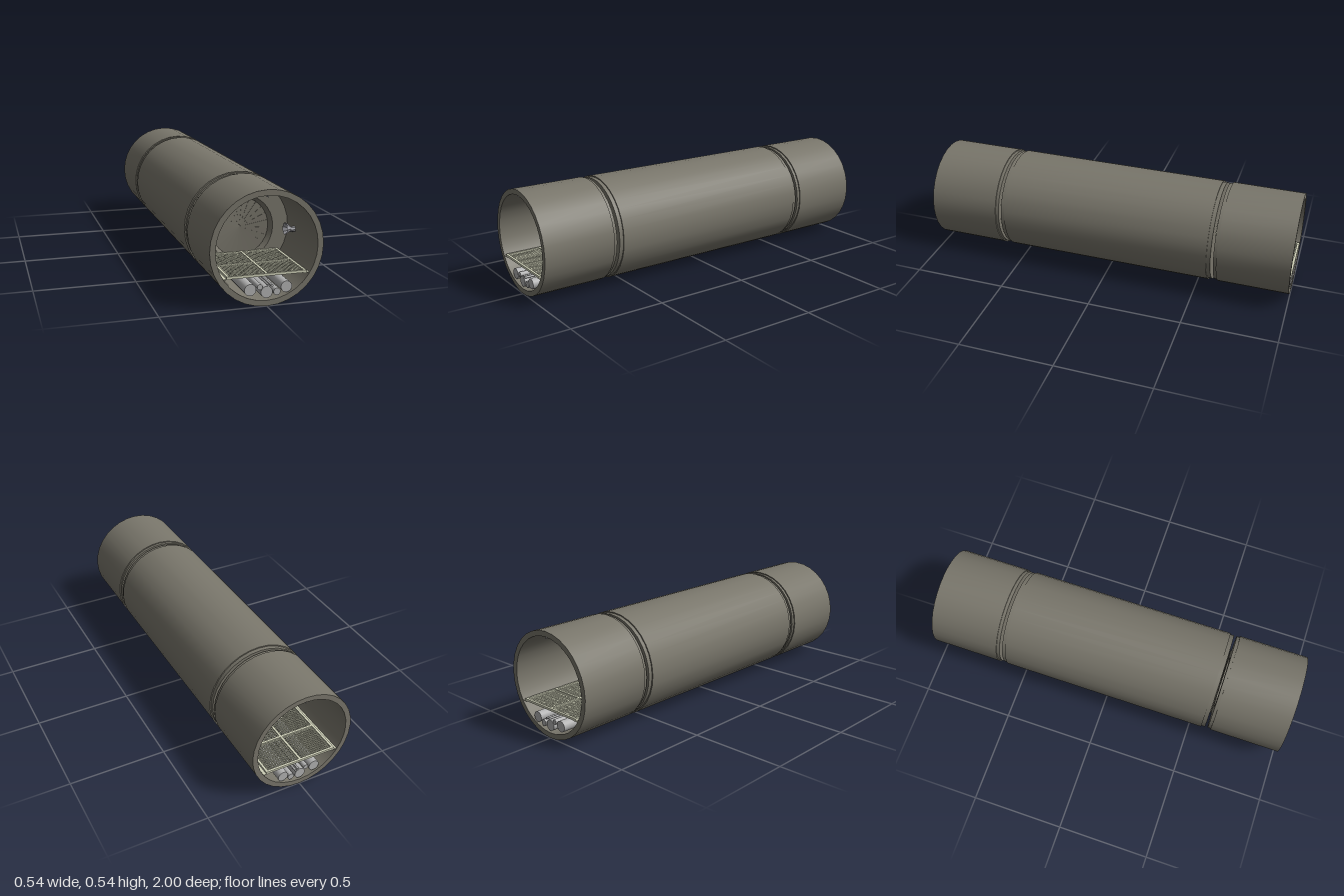
import * as THREE from 'three';
import { mergeGeometries, toCreasedNormals } from 'three/addons/utils/BufferGeometryUtils.js';

const CY = 0.271; // height of the tunnel axis

const mat = (name, color, extra = {}) => {
  const m = new THREE.MeshStandardMaterial({ color, ...extra });
  m.name = name;
  return m;
};

export function createModel() {
  const concrete = mat('concrete', 0x79766b);
  const steel = mat('pale steel', 0xb2b2b2);
  const deckPaint = mat('deck cream', 0xcfd0b8);
  const lampGrey = mat('lamp grey', 0x9c9ca2, { side: THREE.DoubleSide });

  const root = new THREE.Group();
  root.name = 'tunnel';
  const add = (parent, name, geo, material) => {
    const mesh = new THREE.Mesh(geo, material);
    mesh.name = name;
    parent.add(mesh);
    return mesh;
  };
  const box = (w, h, d, x, y, z) => new THREE.BoxGeometry(w, h, d).translate(x, y, z);

  // Profile of [radius, z] pairs turned about the tunnel axis
  const turned = (pts) => {
    const lathe = new THREE.LatheGeometry(pts.map(([r, z]) => new THREE.Vector2(r, z)), 32);
    return toCreasedNormals(lathe.rotateX(Math.PI / 2), 0.5).translate(0, CY, 0);
  };

  // Grated walkway between two z positions
  const deck = (parent, z0, z1, rows) => {
    const len = z1 - z0, mid = (z0 + z1) / 2, bars = [], mesh = [];
    for (const x of [-0.184, 0, 0.184]) bars.push(box(0.012, 0.012, len, x, 0.149, mid));
    for (let i = 0; i <= rows; i++) {
      const z = z0 + 0.006 + (len - 0.012) * i / rows;
      bars.push(box(0.38, 0.012, 0.012, 0, 0.149, z));
    }
    for (let x = -0.17; x < 0.175; x += 0.01) mesh.push(box(0.004, 0.004, len, x, 0.147, mid));
    const n = Math.round(len / 0.0125);
    for (let i = 1; i < n; i++) mesh.push(box(0.37, 0.004, 0.004, 0, 0.147, z0 + len * i / n));
    for (const s of [-1, 1]) bars.push(box(0.03, 0.003, len, s * 0.19, 0.1425, mid));
    add(parent, 'walkwayFrame', mergeGeometries(bars), deckPaint);
    add(parent, 'walkwayGrating', mergeGeometries(mesh), deckPaint);
  };

  // Service pipes below the walkway: x, y, radius
  const pipeList = [
    [-0.079, 0.083, 0.028], [-0.033, 0.093, 0.013], [0, 0.067, 0.028], [0.05, 0.065, 0.017],
    [0.095, 0.085, 0.027], [0.01, 0.098, 0.005], [0.026, 0.096, 0.006],
  ];
  const pipes = (parent, z0, z1) => {
    for (const [x, y, r] of pipeList) {
      const g = new THREE.CylinderGeometry(r, r, z1 - z0, 20).rotateX(Math.PI / 2);
      add(parent, 'servicePipe', g.translate(x, y, (z0 + z1) / 2), steel);
    }
  };

  // Cable with clips along the ceiling
  const cable = (parent, z0, z1, clips) => {
    const g = new THREE.CylinderGeometry(0.003, 0.003, z1 - z0, 8).rotateX(Math.PI / 2);
    add(parent, 'ceilingCable', g.translate(0, 0.507, (z0 + z1) / 2), steel);
    for (const z of clips) add(parent, 'cableClip', box(0.015, 0.018, 0.02, 0, 0.506, z), lampGrey);
  };

  // Backing plate behind the pipes, fitted to the round wall
  const backing = new THREE.Shape();
  backing.moveTo(0.148, 0.08).lineTo(0.11, 0.113).lineTo(-0.11, 0.113).lineTo(-0.148, 0.08);
  for (let i = 0; i <= 8; i++) {
    const a = -0.652 + 1.304 * i / 8;
    backing.lineTo(0.243 * Math.sin(a), CY - 0.243 * Math.cos(a));
  }

  // Two open end sections with bulkheads; the rear one is turned round
  for (const side of [1, -1]) {
    const end = new THREE.Group();
    end.name = side > 0 ? 'frontSection' : 'rearSection';
    if (side < 0) end.rotation.y = Math.PI;
    add(end, 'endShell', turned([
      [0.147, 0.603], [0.264, 0.603], [0.264, 0.62], [0.27, 0.62], [0.27, 1],
      [0.243, 1], [0.243, 0.625], [0.165, 0.625], [0.147, 0.603],
    ]), concrete);
    root.add(end);

    // Fittings keep the same left and right at both ends
    const fit = new THREE.Group();
    fit.name = side > 0 ? 'frontFittings' : 'rearFittings';
    const [z0, z1] = side > 0 ? [0.625, 0.998] : [-0.998, -0.625];
    deck(fit, z0, z1, 2);
    pipes(fit, z0, z1);
    cable(fit, z0, z1, [side * 0.89, side * 0.73]);
    const plate = new THREE.ExtrudeGeometry(backing, { depth: 0.012, bevelEnabled: false });
    add(fit, 'pipeBacking', plate.translate(0, 0, side > 0 ? 0.624 : -0.636), concrete);
    root.add(fit);
  }

  // Long middle section
  const middle = new THREE.Group();
  middle.name = 'middleSection';
  add(middle, 'middleShell', turned([
    [0.165, -0.588], [0.264, -0.588], [0.264, -0.567], [0.27, -0.567], [0.27, 0.567],
    [0.264, 0.567], [0.264, 0.588], [0.165, 0.588], [0.165, 0.565], [0.243, 0.565],
    [0.243, -0.565], [0.165, -0.565], [0.165, -0.588],
  ]), concrete);
  deck(middle, -0.56, 0.56, 6);
  pipes(middle, -0.56, 0.56);
  cable(middle, -0.56, 0.56, [-0.4, -0.13, 0.13, 0.4]);
  root.add(middle);

  // Front iris door: overlapping thin blades, each slightly twisted
  const iris = new THREE.Group();
  iris.name = 'irisDoor';
  iris.position.set(0, CY, 0.596);
  const COUNT = 24;
  const blade = new THREE.Shape();
  blade.moveTo(0, 0).lineTo(0.18, -0.026).lineTo(0.184, 0.004).lineTo(0.165, 0.028).lineTo(0, 0);
  const bladeGeo = new THREE.ExtrudeGeometry(blade, { depth: 0.002, bevelEnabled: false });
  bladeGeo.translate(0, 0, -0.001).rotateX(0.06);
  for (let i = 0; i < COUNT; i++) {
    add(iris, 'irisBlade', bladeGeo, concrete).rotation.z = i * Math.PI * 2 / COUNT;
  }
  root.add(iris);

  // Rear door disc
  const disc = new THREE.CylinderGeometry(0.186, 0.186, 0.006, 32).rotateX(Math.PI / 2);
  add(root, 'rearDoor', disc.translate(0, CY, -0.597), concrete);

  // Horn lamp on the left wall of the front section
  const lamp = new THREE.Group();
  lamp.name = 'wallLamp';
  lamp.position.set(0.232, 0.272, 0.72);
  const body = new THREE.CylinderGeometry(0.014, 0.014, 0.026, 8).rotateZ(Math.PI / 2);
  add(lamp, 'lampBody', toCreasedNormals(body, 0.3), lampGrey);
  const horn = new THREE.CylinderGeometry(0.012, 0.031, 0.028, 8, 1, true);
  horn.rotateZ(-Math.PI / 2 - 0.08).translate(-0.026, 0.005, 0);
  add(lamp, 'lampHorn', toCreasedNormals(horn, 0.3), lampGrey);
  const bulb = new THREE.SphereGeometry(0.01, 10, 8).translate(-0.018, 0.003, 0);
  add(lamp, 'lampBulb', bulb, steel);
  root.add(lamp);

  return root;
}
